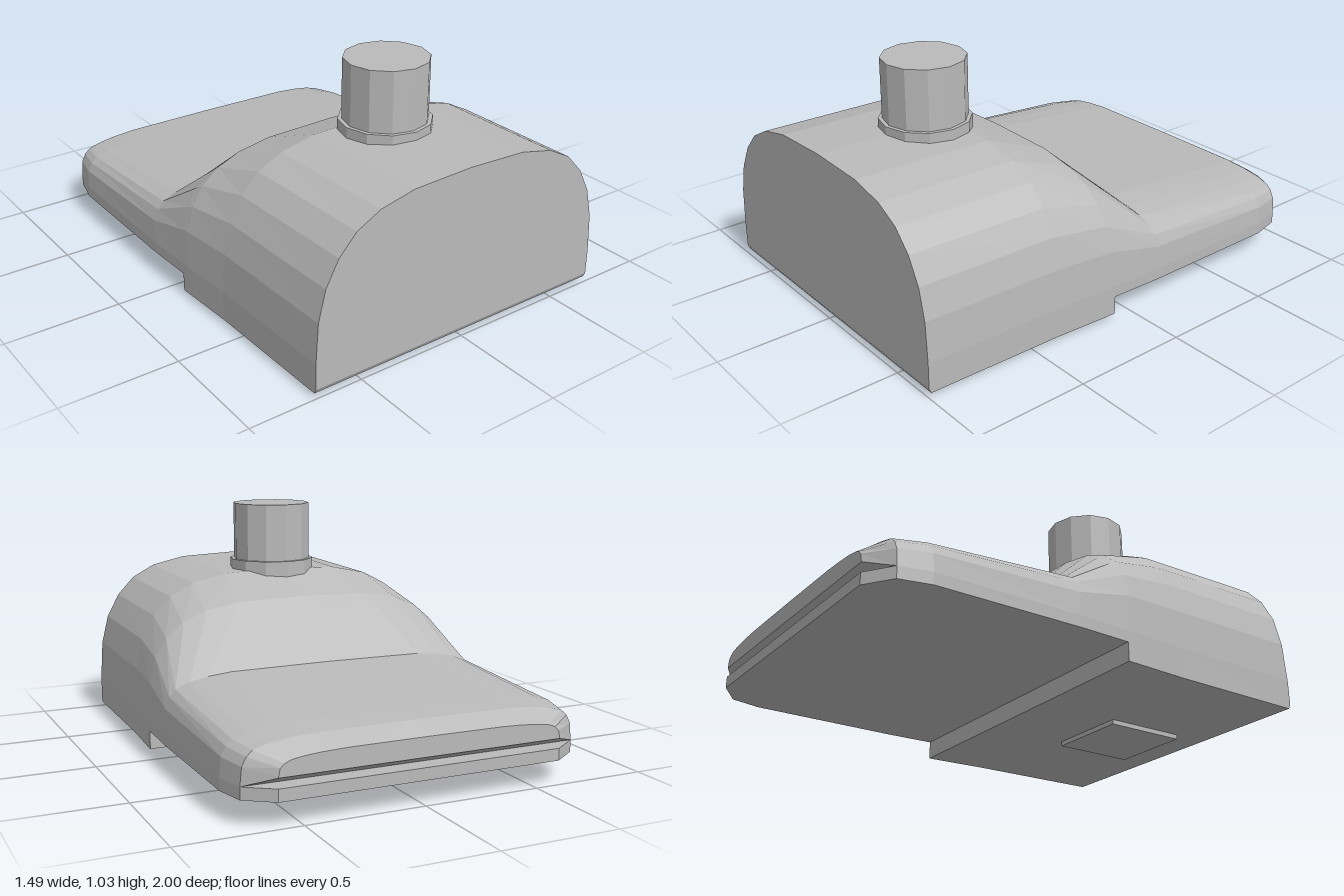
import * as THREE from 'three';

// Half profiles as [x fraction, height fraction], from side to crown
const DOME = [[1, 0], [0.985, 0.29], [0.94, 0.51], [0.86, 0.69], [0.75, 0.83], [0.6, 0.925], [0.38, 0.983], [0, 1]];
const SLAB = [[1, 0], [0.99, 0.43], [0.965, 0.64], [0.93, 0.77], [0.85, 0.87], [0.74, 0.94], [0.6, 0.985], [0, 1]];

// One closed cross-section, running from +x over the crown to -x
function section({ z, w, top, base, t, y1 = 0.15 }) {
  const half = DOME.map(([dx, dv], i) => {
    const x = THREE.MathUtils.lerp(dx, SLAB[i][0], t) * w;
    const y = y1 + THREE.MathUtils.lerp(dv, SLAB[i][1], t) * (top - y1);
    return [x, y, z];
  });
  half.unshift([w, base, z]);
  const mirrored = half.slice(0, -1).reverse().map(([x, y]) => [-x, y, z]);
  return [...half, ...mirrored];
}

// Skin between the sections from front to back, with flat end caps
function loft(stations) {
  const rings = stations.map(section);
  const n = rings[0].length;
  const pos = [];
  const tri = (a, b, c) => pos.push(...a, ...b, ...c);
  for (let i = 0; i < rings.length - 1; i++) {
    for (let j = 0; j < n; j++) {
      const k = (j + 1) % n;
      const p = rings[i], q = rings[i + 1];
      tri(p[j], q[j], p[k]);
      tri(p[k], q[j], q[k]);
    }
  }
  const first = rings[0], last = rings[rings.length - 1];
  for (let j = 1; j < n - 1; j++) {
    tri(first[0], first[j], first[j + 1]);
    tri(last[0], last[j + 1], last[j]);
  }
  const geo = new THREE.BufferGeometry();
  geo.setAttribute('position', new THREE.Float32BufferAttribute(pos, 3));
  geo.computeVertexNormals();
  return geo;
}

export function createModel() {
  const model = new THREE.Group();
  model.name = 'nozzleHead';
  const grey = new THREE.MeshStandardMaterial({ color: 0xbababa, flatShading: true });
  grey.name = 'grey';

  const add = (name, geo, x = 0, y = 0, z = 0) => {
    const mesh = new THREE.Mesh(geo, grey);
    mesh.name = name;
    mesh.position.set(x, y, z);
    model.add(mesh);
  };

  // Domed body sloping down to the flat rear, with a step underneath
  add('body', loft([
    { z: 1, w: 0.71, top: 0.74, base: 0.04, t: 0 },
    { z: 0.99, w: 0.71, top: 0.74, base: 0.02, t: 0 },
    { z: 0.38, w: 0.722, top: 0.73, base: 0.02, t: 0 },
    { z: 0.12, w: 0.737, top: 0.635, base: 0.02, t: 0.25 },
    { z: 0.09, w: 0.738, top: 0.606, base: 0.02, t: 0.33 },
    { z: 0.09, w: 0.738, top: 0.606, base: 0.1, t: 0.33 },
    { z: -0.14, w: 0.746, top: 0.385, base: 0.1, t: 1 },
    { z: -0.79, w: 0.745, top: 0.33, base: 0.1, t: 1 },
    { z: -0.92, w: 0.715, top: 0.317, base: 0.1, t: 1 },
  ]));

  // Tapered upper lip above the slot
  add('upperLip', loft([
    { z: -0.92, w: 0.715, top: 0.317, base: 0.15, t: 1 },
    { z: -1, w: 0.6, top: 0.27, base: 0.19, y1: 0.195, t: 0.8 },
  ]));

  // Lower lip plate with cut corners
  const outline = new THREE.Shape([
    new THREE.Vector2(-0.715, 0.92), new THREE.Vector2(0.715, 0.92),
    new THREE.Vector2(0.6, 1), new THREE.Vector2(-0.6, 1),
  ]);
  const lip = new THREE.ExtrudeGeometry(outline, { depth: 0.05, bevelEnabled: false });
  lip.rotateX(-Math.PI / 2);
  add('lowerLip', lip, 0, 0.1, 0);

  // Hose socket on top
  add('collar', new THREE.CylinderGeometry(0.195, 0.195, 0.09, 12), 0, 0.725, 0.49);
  add('pipe', new THREE.CylinderGeometry(0.178, 0.178, 0.3, 12), 0, 0.88, 0.49);

  // Square pad underneath
  add('basePad', new THREE.BoxGeometry(0.37, 0.03, 0.37), 0, 0.015, 0.645);

  return model;
}
